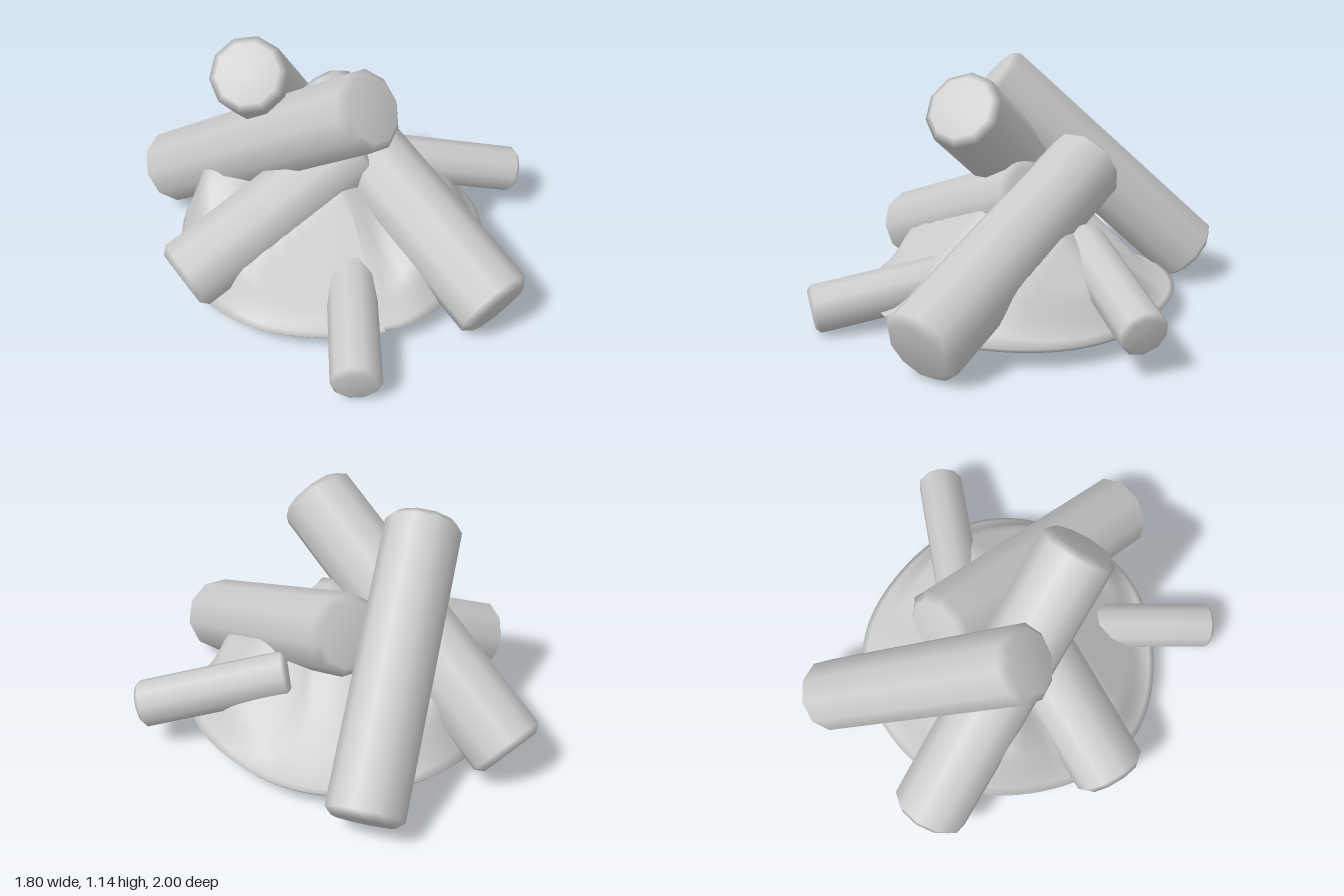
import * as THREE from 'three';

const material = new THREE.MeshStandardMaterial({ color: 0xcccccc });

// Each log: name, lower end, upper end, radius, share of its length the mound leans on
const LOGS = [
  ['backLog', [0.04, 0.13, -0.89], [-0.425, 1.04, -0.04], 0.17, 0],
  ['crossingLog', [-0.68, 0.175, -0.635], [-0.01, 1.02, 0.36], 0.177, 0.35],
  ['frontLog', [0.41, 0.155, 0.805], [-0.03, 0.67, -0.32], 0.183, 0.62],
  ['rightLog', [-0.84, 0.22, 0.22], [0.04, 0.585, 0.03], 0.168, 0.8],
  ['leftBranch', [0.872, 0.21, 0.01], [0.2, 0.38, -0.13], 0.108, 0],
  ['frontBranch', [-0.307, 0.115, 0.97], [-0.12, 0.21, 0.4], 0.11, 0],
];

// Ten-sided log with slightly worn ends
function makeLog([name, from, to, r]) {
  const a = new THREE.Vector3(...from);
  const b = new THREE.Vector3(...to);
  const h = a.distanceTo(b) / 2;
  const bevel = r * 0.18;
  const profile = [
    [0, -h], [r * 0.8, -h], [r, -h + bevel],
    [r, h - bevel], [r * 0.8, h], [0, h],
  ].map(([x, y]) => new THREE.Vector2(x, y));
  const log = new THREE.Mesh(new THREE.LatheGeometry(profile, 10), material);
  log.name = name;
  log.position.copy(a).add(b).multiplyScalar(0.5);
  log.quaternion.setFromUnitVectors(new THREE.Vector3(0, 1, 0), b.sub(a).normalize());
  return log;
}

// Height of a sloping skirt that falls away from the side of a log
function skirtHeight(x, z, [, a, b, r, share]) {
  const dx = b[0] - a[0], dz = b[2] - a[2];
  const along = ((x - a[0]) * dx + (z - a[2]) * dz) / (dx * dx + dz * dz);
  const t = THREE.MathUtils.clamp(along, 0, share);
  const dist = Math.hypot(x - a[0] - t * dx, z - a[2] - t * dz);
  return a[1] + t * (b[1] - a[1]) - 0.8 * Math.max(0, dist - r * 0.9);
}

// Concave ash mound, raised where it drapes against the lower logs
function makeMound() {
  const R = 0.71, rings = 28, cx = -0.08, cz = 0.015;
  const profile = [new THREE.Vector2(0, 0.085), new THREE.Vector2(R * 0.97, 0.085)];
  for (let i = 0; i <= rings; i++) profile.push(new THREE.Vector2(R * (1 - i / rings), 0.11));
  const geometry = new THREE.LatheGeometry(profile, 72);
  const p = geometry.attributes.position;
  const drapers = LOGS.filter((log) => log[4] > 0);
  for (let i = 0; i < p.count; i++) {
    const x = p.getX(i), z = p.getZ(i);
    const angle = Math.atan2(z, x);
    const wobble = 1 + 0.012 * Math.sin(5 * angle + 1) + 0.01 * Math.sin(3 * angle);
    const px = x * wobble + cx, pz = z * wobble + cz;
    if (i % profile.length > 1) {
      const inward = Math.max(0, 1 - Math.hypot(x, z) / R);
      const cone = 0.11 + 0.53 * Math.pow(inward, 1.4);
      const skirt = Math.max(...drapers.map((log) => skirtHeight(px, pz, log)));
      p.setY(i, cone + Math.max(0, skirt - cone) * Math.min(1, inward * 6));
    }
    p.setX(i, px);
    p.setZ(i, pz);
  }
  geometry.computeVertexNormals();
  const mound = new THREE.Mesh(geometry, material);
  mound.name = 'ashMound';
  return mound;
}

export function createModel() {
  const group = new THREE.Group();
  group.name = 'campfire';
  group.add(makeMound(), ...LOGS.map(makeLog));
  return group;
}
